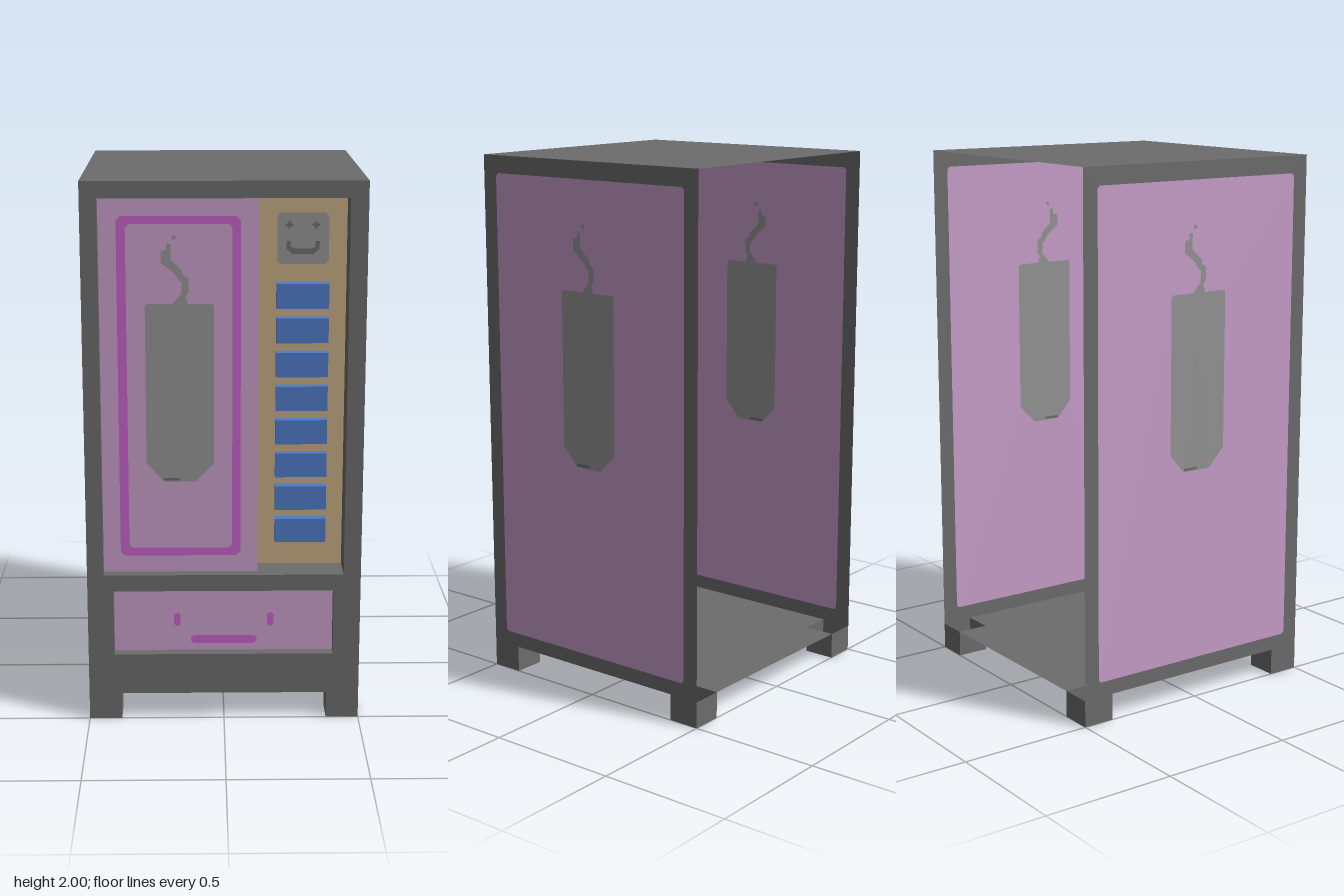
import * as THREE from 'three';

const mat = (name, color) => new THREE.MeshStandardMaterial({ name, color, side: THREE.DoubleSide });

// rectangle outline with cut corners
const rect = (x0, x1, y0, y1, c = 0) => c
  ? [[x0 + c, y0], [x1 - c, y0], [x1, y0 + c], [x1, y1 - c], [x1 - c, y1], [x0 + c, y1], [x0, y1 - c], [x0, y0 + c]]
  : [[x0, y0], [x1, y0], [x1, y1], [x0, y1]];

const move = (pts, dx, dy) => pts.map(([x, y]) => [x + dx, y + dy]);

// candle outline: body, wick and curling flame
const candle = [
  [-0.06, 0.88], [0.055, 0.88], [0.122, 0.95], [0.122, 1.525], [0.115, 1.533], [0.03, 1.533],
  [0.02, 1.56], [0.032, 1.575], [0.032, 1.625], [0.012, 1.635], [0.012, 1.65], [-0.03, 1.69],
  [-0.03, 1.745], [-0.045, 1.748], [-0.045, 1.727], [-0.065, 1.72], [-0.065, 1.68], [-0.02, 1.645],
  [-0.003, 1.62], [0.008, 1.61], [0.008, 1.57], [-0.025, 1.533], [-0.115, 1.533], [-0.122, 1.525], [-0.122, 0.95],
];
const spark = rect(-0.025, -0.011, 1.762, 1.776);
const wax = rect(-0.06, 0, 0.884, 0.893);

// small plus sign used for the eyes of the badge
const plus = (x, y, a = 0.013, b = 0.004) => [
  [-a, -b], [-b, -b], [-b, -a], [b, -a], [b, -b], [a, -b],
  [a, b], [b, b], [b, a], [-b, a], [-b, b], [-a, b],
].map(([u, v]) => [x + u, y + v]);

export function createModel() {
  const root = new THREE.Group();
  const grey = mat('casing grey', 0x6c6c6c);
  const pink = mat('panel pink', 0xc89fca);
  const purple = mat('trim purple', 0xc662c8);
  const tan = mat('control tan', 0xc6ab83);
  const blue = mat('button blue', 0x4f7ac8);
  const silver = mat('candle grey', 0x949494);

  const add = (parent, name, geometry, material, x = 0, y = 0, z = 0) => {
    const mesh = new THREE.Mesh(geometry, material);
    mesh.name = name;
    mesh.position.set(x, y, z);
    parent.add(mesh);
    return mesh;
  };

  // flat sheet with inlaid pieces: each inlay is cut out and filled by its own sheet
  const inlay = (name, outline, material, inlays = [], openings = []) => ({ name, outline, material, inlays, openings });
  const sheet = (parent, { name, outline, material, inlays, openings }, z = 0) => {
    const toPath = (pts) => pts.map(([x, y]) => new THREE.Vector2(x, y));
    const shape = new THREE.Shape(toPath(outline));
    const cuts = [...inlays.map((i) => i.outline), ...openings];
    shape.holes = cuts.map((pts) => new THREE.Path(toPath(pts)));
    const mesh = add(parent, name, new THREE.ShapeGeometry(shape), material, 0, 0, z);
    inlays.forEach((i) => sheet(parent, i, z));
    return mesh;
  };

  // box with some sides left out (0 +x, 1 -x, 2 +y, 3 -y, 4 +z, 5 -z)
  const openBox = (w, h, d, missing) => {
    const g = new THREE.BoxGeometry(w, h, d);
    g.setIndex([...g.index.array].filter((_, i) => !missing.includes(Math.floor(i / 6))));
    g.clearGroups();
    return g;
  };
  const lining = (name, x0, x1, y0, y1, z0, z1, missing) =>
    add(root, name, openBox(x1 - x0, y1 - y0, z1 - z0, missing), grey, (x0 + x1) / 2, (y0 + y1) / 2, (z0 + z1) / 2);

  const candleInlays = (dx, dy) => [
    inlay('candle', move(candle, dx, dy), silver, [inlay('candleMark', move(wax, dx, dy), grey)]),
    inlay('spark', move(spark, dx, dy), silver),
  ];

  // side walls
  for (const s of [1, -1]) {
    const wall = new THREE.Group();
    wall.name = s > 0 ? 'leftWall' : 'rightWall';
    wall.position.x = s * 0.5;
    wall.rotation.y = s * Math.PI / 2;
    sheet(wall, inlay('wallFrame', rect(-0.5, 0.5, 0.1, 2), grey, [
      inlay('wallPanel', rect(-0.44, 0.44, 0.155, 1.935, 0.01), pink, candleInlays(0, 0)),
    ]));
    root.add(wall);
  }

  // top and floor; the floor is notched over the hollow legs
  sheet(root, inlay('top', rect(-0.5, 0.5, -0.5, 0.5), grey)).rotation.x = -Math.PI / 2;
  root.getObjectByName('top').position.y = 2;
  const a = 0.5, b = 0.38;
  const floor = sheet(root, inlay('floor', [
    [-b, -a], [b, -a], [b, -b], [a, -b], [a, b], [b, b], [b, a], [-b, a], [-b, b], [-a, b], [-a, -b], [-b, -b],
  ], grey));
  floor.rotation.x = -Math.PI / 2;
  floor.position.y = 0.1;

  // legs, open at the top
  for (const x of [-0.44, 0.44]) for (const z of [-0.44, 0.44]) {
    add(root, 'leg', openBox(0.12, 0.1, 0.12, [2]), grey, x, 0.05, z);
  }

  // front frame with openings for the display and the drawer
  const xl = -0.44, xm = 0.123, xr = 0.437, yb = 0.565, yt = 1.94;
  const zPanel = 0.458, zBay = 0.376;
  const drawer = rect(-0.405, 0.402, 0.255, 0.503);
  sheet(root, inlay('frontFrame', rect(-0.5, 0.5, 0.1, 2), grey, [], [rect(xl, xr, yb, yt), drawer]), 0.5);
  lining('displayLining', xl, xm, yb, yt, zPanel, 0.5, [0, 4, 5]);
  lining('controlLining', xm, xr, yb, yt, zBay, 0.5, [1, 4, 5]);
  lining('drawerLining', -0.405, 0.402, 0.255, 0.503, zPanel, 0.5, [4, 5]);

  // display panel with trim and candle
  sheet(root, inlay('displayPanel', rect(xl, xm, yb, yt), pink, [
    inlay('displayTrim', rect(-0.377, 0.06, 0.627, 1.873, 0.015), purple, [
      inlay('displayField', rect(-0.345, 0.03, 0.657, 1.845, 0.012), pink, candleInlays(-0.157, 0.03)),
    ]),
  ]), zPanel);
  add(root, 'displayEdge', new THREE.PlaneGeometry(zPanel - zBay, yt - yb), pink,
    xm, (yt + yb) / 2, (zPanel + zBay) / 2).rotation.y = Math.PI / 2;

  // drawer with a simple face
  sheet(root, inlay('drawer', drawer, pink, [
    ...[-0.172, 0.172].map((x) => inlay('drawerEye', rect(x - 0.012, x + 0.012, 0.35, 0.402, 0.008), purple)),
    inlay('drawerMouth', rect(-0.122, 0.122, 0.281, 0.313, 0.01), purple),
  ]), zPanel);

  // control panel with face badge and button openings
  const buttonYs = Array.from({ length: 8 }, (_, i) => 1.58 - i * 0.125);
  const bx = 0.281, bw = 0.187, bh = 0.09, bd = 0.035;
  const smile = [
    [0.222, 1.772], [0.222, 1.745], [0.245, 1.725], [0.318, 1.725], [0.34, 1.745],
    [0.34, 1.772], [0.325, 1.772], [0.325, 1.752], [0.31, 1.745], [0.252, 1.745], [0.237, 1.752], [0.237, 1.772],
  ];
  sheet(root, inlay('controlPanel', rect(xm, xr, yb, yt), tan, [
    inlay('faceBadge', rect(0.19, 0.373, 1.69, 1.873, 0.013), silver, [
      inlay('badgeEye', plus(0.233, 1.83), grey),
      inlay('badgeEye', plus(0.327, 1.83), grey),
      inlay('badgeSmile', smile, grey),
    ]),
  ], buttonYs.map((y) => rect(bx - bw / 2, bx + bw / 2, y - bh / 2, y + bh / 2))), zBay);
  for (const y of buttonYs) {
    add(root, 'button', openBox(bw, bh, bd, [5]), blue, bx, y, zBay + bd / 2);
  }

  return root;
}
